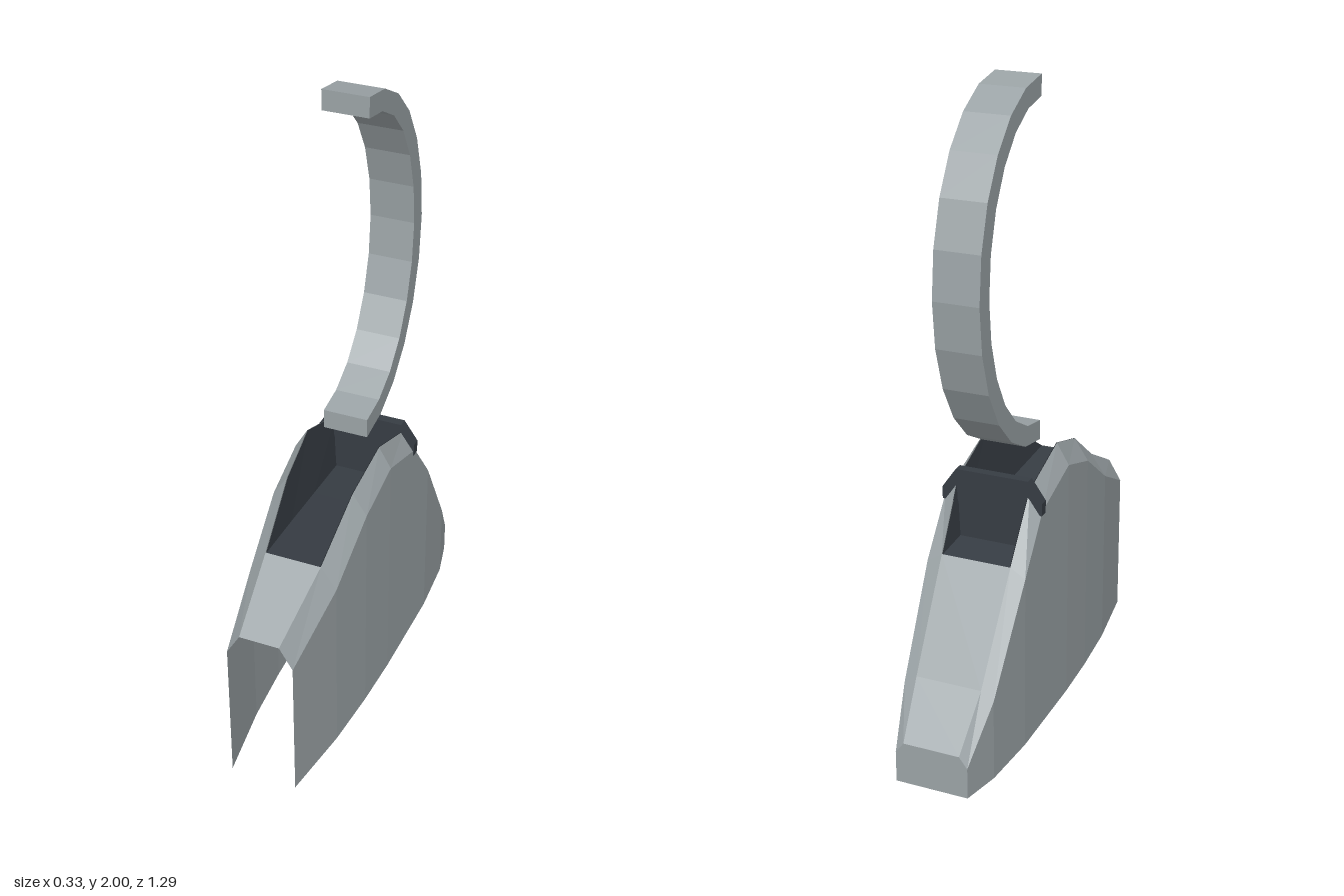
import * as THREE from 'three';

const grey = new THREE.MeshStandardMaterial({ color: 0x9aa2a5, side: THREE.DoubleSide, flatShading: true });
grey.name = 'light grey';
const dark = new THREE.MeshStandardMaterial({ color: 0x363c43, side: THREE.DoubleSide, flatShading: true });
dark.name = 'charcoal';

// Joins rows of [x, y, z] points with flat quads; skip(i, j) leaves an opening
function loft(rows, skip = () => false) {
  const out = [];
  for (let i = 0; i < rows.length - 1; i++) {
    for (let j = 0; j < rows[i].length - 1; j++) {
      if (skip(i, j)) continue;
      const a = rows[i][j], b = rows[i + 1][j], c = rows[i + 1][j + 1], d = rows[i][j + 1];
      out.push(...a, ...b, ...c, ...a, ...c, ...d);
    }
  }
  const geo = new THREE.BufferGeometry();
  geo.setAttribute('position', new THREE.Float32BufferAttribute(out, 3));
  geo.computeVertexNormals();
  return geo;
}

function add(group, name, geometry, material) {
  const mesh = new THREE.Mesh(geometry, material);
  mesh.name = name;
  group.add(mesh);
  return mesh;
}

const toShape = pts => new THREE.Shape(pts.map(p => new THREE.Vector2(p[0], p[1])));

// Stations front to back: z, half width, shoulder height, top half width, top height
const stations = [
  [0.645, 0.106, 0.475, 0.064, 0.545],
  [0.4, 0.14, 0.6, 0.09, 0.672],
  [0.2, 0.154, 0.74, 0.108, 0.81],
  [0.02, 0.16, 0.8, 0.12, 0.868],
  [-0.19, 0.16, 0.735, 0.118, 0.795],
  [-0.32, 0.16, 0.57, 0.112, 0.6],
  [-0.52, 0.145, 0.262, 0.105, 0.29],
  [-0.645, 0.116, 0.1, 0.09, 0.135],
];

export function createModel() {
  const model = new THREE.Group();
  model.name = 'model';

  // Body shell, open at the front, underneath and over the cockpit
  const rows = stations.map(([z, w, s, t, h]) =>
    [[w, 0, z], [w, s, z], [t, h, z], [-t, h, z], [-w, s, z], [-w, 0, z]]);
  add(model, 'bodyShell', loft(rows, (i, j) => j === 2 && i >= 1 && i <= 4), grey);

  // Rear wall
  const rear = new THREE.ShapeGeometry(toShape(rows[rows.length - 1]));
  rear.rotateY(Math.PI);
  add(model, 'rearWall', rear, grey).position.z = -0.645;

  // Cockpit tub: side linings and floor
  const floorY = [0.67, 0.65, 0.632, 0.612, 0.598];
  const floorW = [0.088, 0.095, 0.1, 0.105, 0.11];
  const tub = stations.slice(1, 6).map(([z, , , t, h], i) => {
    const x = t - 0.002, f = floorW[i], y = floorY[i];
    return [[x, h, z], [f, y, z], [-f, y, z], [-x, h, z]];
  });
  add(model, 'cockpitTub', loft(tub), dark);

  // Upright panel whose shoulders hook over the shell
  const half = [[0.105, 0.61], [0.11, 0.725], [0.163, 0.725], [0.163, 0.765], [0.118, 0.83]];
  const outline = [...half, ...half.map(([x, y]) => [-x, y]).reverse()];
  const panel = new THREE.ExtrudeGeometry(toShape(outline), { depth: 0.03, bevelEnabled: false });
  add(model, 'cockpitBulkhead', panel, dark).position.z = -0.202;

  // Half-oval hoop above the body
  const arc = (rx, ry) => Array.from({ length: 13 }, (_, i) => {
    const a = -Math.PI / 2 + i * Math.PI / 12;
    return [rx * Math.cos(a), 1.44 + ry * Math.sin(a)];
  });
  const ring = toShape([...arc(0.435, 0.56), ...arc(0.37, 0.497).reverse()]);
  const hoop = new THREE.ExtrudeGeometry(ring, { depth: 0.144, bevelEnabled: false });
  hoop.rotateY(Math.PI / 2);
  add(model, 'hoop', hoop, grey).position.x = -0.072;

  return model;
}
